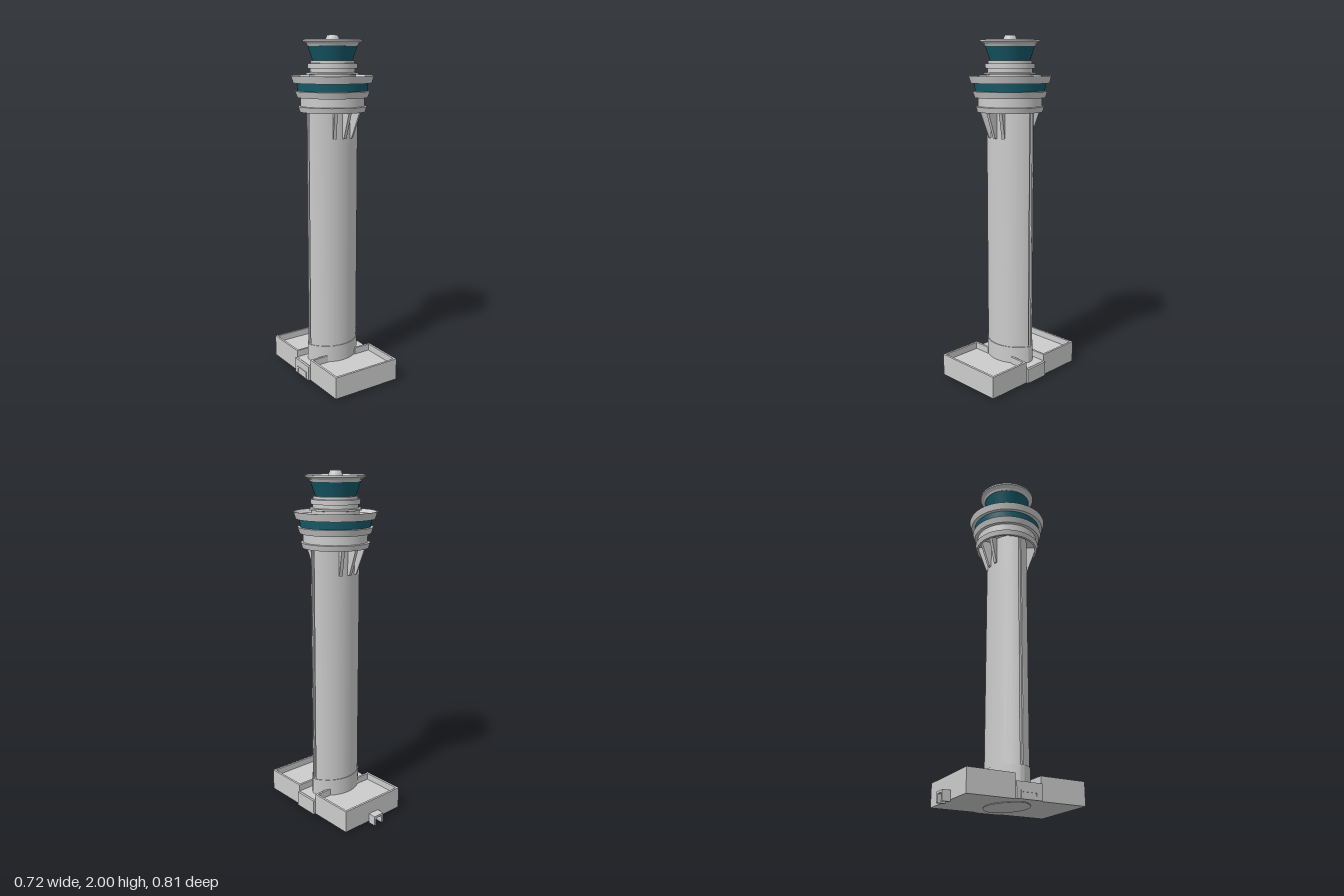
import * as THREE from 'three';
import { toCreasedNormals } from 'three/addons/utils/BufferGeometryUtils.js';

const grey = new THREE.MeshStandardMaterial({ color: 0xcccccc });
const glass = new THREE.MeshStandardMaterial({ color: 0x165a68 });

function add(parent, name, geometry, material = grey) {
  const mesh = new THREE.Mesh(geometry, material);
  mesh.name = name;
  parent.add(mesh);
  return mesh;
}

// Box given by its limits on each axis
function block(parent, name, [x0, x1], [y0, y1], [z0, z1]) {
  const mesh = add(parent, name, new THREE.BoxGeometry(x1 - x0, y1 - y0, z1 - z0));
  mesh.position.set((x0 + x1) / 2, (y0 + y1) / 2, (z0 + z1) / 2);
  return mesh;
}

// Turned part from [radius, height] pairs, outside running upwards
function turned(parent, name, profile, material) {
  const points = profile.map(([r, y]) => new THREE.Vector2(r, y));
  return add(parent, name, toCreasedNormals(new THREE.LatheGeometry(points, 72), 0.4), material);
}

// Lens plan of two shallow arcs with blunt ends; a slot can be cut in each end
function lens(halfDepth, endHalf, slot) {
  const radius = 0.1844 + halfDepth - 0.113, offset = radius - halfDepth;
  const a0 = Math.asin((offset + endHalf) / radius);
  const end = radius * Math.cos(a0), w = 0.009;
  const s = new THREE.Shape();
  s.absarc(0, -offset, radius, a0, Math.PI - a0, false);
  if (slot) {
    s.lineTo(-end, w); s.lineTo(-end + slot, w);
    s.lineTo(-end + slot, -w); s.lineTo(-end, -w);
  }
  s.absarc(0, offset, radius, Math.PI + a0, 2 * Math.PI - a0, false);
  if (slot) {
    s.lineTo(end, -w); s.lineTo(end - slot, -w);
    s.lineTo(end - slot, w); s.lineTo(end, w);
  }
  s.closePath();
  return s;
}

function column(parent, name, shape, y0, y1) {
  const g = new THREE.ExtrudeGeometry(shape, { depth: y1 - y0, bevelEnabled: false, curveSegments: 32 });
  g.rotateX(-Math.PI / 2).translate(0, y0, 0);
  return add(parent, name, toCreasedNormals(g, 0.4));
}

function buildBase() {
  const base = new THREE.Group();
  base.name = 'base';
  const U = 0.2155, V = 0.346, T = 0.013, G = 0.075, floor = 0.1, top = 0.14;
  block(base, 'baseBlock', [-U, U], [0.01, floor], [-V, V]);
  block(base, 'sideBays', [-0.229, 0.229], [0.01, floor - 0.002], [-G, G]);

  // Parapet round each half of the roof, open beside the shaft
  for (const s of [-1, 1]) {
    const range = (a, b) => (s > 0 ? [a, b] : [-b, -a]);
    block(base, 'endParapet', [-U, U], [floor, top], range(V - T, V));
    for (const m of [-1, 1]) {
      const side = (a, b) => (m > 0 ? [a, b] : [-b, -a]);
      block(base, 'sideParapet', side(U - T, U), [floor, top], range(G, V - T));
      block(base, 'returnParapet', side(0.1, U - T), [floor, top], range(G, G + T));
    }
  }

  // Rear porch: two legs under a canopy
  for (const u of [-0.039, 0.018]) block(base, 'porchLeg', [u, u + 0.014], [0, 0.045], [-0.392, -V]);
  block(base, 'porchCanopy', [-0.039, 0.032], [0.045, 0.058], [-0.392, -V]);

  // Door frame on the right-hand bay
  for (const v of [-0.05, 0.04]) block(base, 'doorJamb', [-0.232, -0.229], [0.01, 0.045], [v, v + 0.01]);
  block(base, 'doorHead', [-0.232, -0.229], [0.045, 0.055], [-0.05, 0.05]);
  return base;
}

function buildBrackets(parent) {
  // Tapered fins fanned out under the gallery on both broad faces
  const fin = new THREE.Shape([[0.08, 1.435], [0.126, 1.435], [0.182, 1.6], [0.08, 1.6]]
    .map(([r, y]) => new THREE.Vector2(r, y)));
  const g = new THREE.ExtrudeGeometry(fin, { depth: 0.018, bevelEnabled: false });
  g.translate(0, 0, -0.009);
  for (const face of [-1, 1]) {
    for (const fan of [-0.48, 0, 0.48]) {
      add(parent, 'bracket', g).rotation.y = face * Math.PI / 2 + fan;
    }
  }
}

function buildHead(parent) {
  turned(parent, 'galleryBase', [[0, 1.605], [0.174, 1.605], [0.174, 1.58], [0.186, 1.58], [0.194, 1.61],
    [0.181, 1.612], [0.181, 1.66], [0.2, 1.66], [0.212, 1.695], [0.19, 1.697]]);
  turned(parent, 'galleryWindows', [[0.197, 1.69], [0.202, 1.745]], glass);
  turned(parent, 'galleryRoof', [[0.19, 1.74], [0.222, 1.74], [0.234, 1.78], [0.227, 1.78], [0.208, 1.76], [0, 1.76]]);
  turned(parent, 'cabBase', [[0.132, 1.758], [0.132, 1.785], [0.147, 1.787], [0.147, 1.797], [0.127, 1.799],
    [0.127, 1.82], [0.139, 1.82], [0.139, 1.846], [0.124, 1.848], [0.124, 1.862], [0, 1.862]]);
  turned(parent, 'cabWindows', [[0.11, 1.855], [0.139, 1.942]], glass);
  turned(parent, 'cabRoof', [[0.125, 1.94], [0.141, 1.94], [0.147, 1.952], [0.163, 1.962], [0.168, 1.965],
    [0.168, 1.975], [0.161, 1.975], [0.135, 1.962], [0, 1.962]]);
  turned(parent, 'roofCone', [[0.043, 1.96], [0.043, 1.968], [0.031, 1.997], [0.029, 2], [0.025, 2], [0.025, 1.997], [0, 1.997]]);
}

export function createModel() {
  const model = new THREE.Group();
  model.name = 'controlTower';
  const base = buildBase();
  base.rotation.y = Math.PI / 6;
  model.add(base);

  const tower = new THREE.Group();
  tower.name = 'tower';
  tower.rotation.y = Math.PI / 6;
  tower.position.set(-0.006, 0, -0.005);
  column(tower, 'shaftPlinth', lens(0.117, 0.012, 0), 0.006, 0.2);
  column(tower, 'shaft', lens(0.113, 0.014, 0.012), 0.19, 1.604);
  buildBrackets(tower);
  buildHead(tower);
  model.add(tower);
  return model;
}
